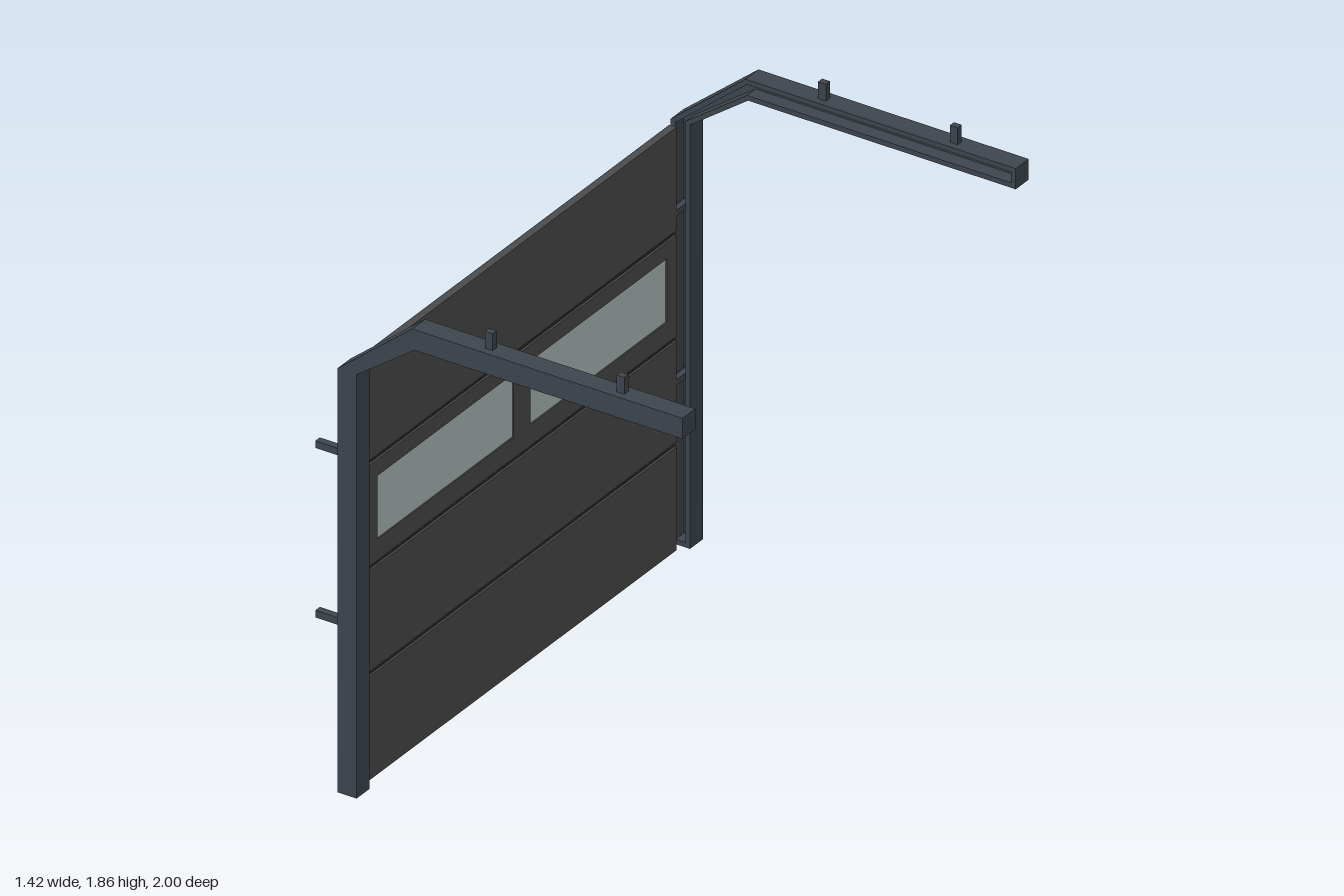
import * as THREE from 'three';

const steel = new THREE.MeshStandardMaterial({ color: 0x3d454d });
const slab = new THREE.MeshStandardMaterial({ color: 0x4a4a4a });
const seam = new THREE.MeshStandardMaterial({ color: 0x2a2a2a });
const glass = new THREE.MeshStandardMaterial({ color: 0xb0bcbc });

function add(parent, name, geometry, material, x = 0, y = 0, z = 0) {
  const mesh = new THREE.Mesh(geometry, material);
  mesh.name = name;
  mesh.position.set(x, y, z);
  parent.add(mesh);
  return mesh;
}

const box = (parent, name, material, size, pos) =>
  add(parent, name, new THREE.BoxGeometry(...size), material, ...pos);

const points = (list) => list.map(([x, y]) => new THREE.Vector2(x, y));
const rectangle = (x0, x1, y0, y1) => points([[x0, y0], [x1, y0], [x1, y1], [x0, y1]]);
const extrude = (shape, depth) => new THREE.ExtrudeGeometry(shape, { depth, bevelEnabled: false });

// Side outline of the bent track and of the groove on its inner face
const trackOutline = points([
  [-0.615, 0], [-0.541, 0], [-0.541, 1.563], [-0.318, 1.724],
  [0.71, 1.724], [0.71, 1.8], [-0.328, 1.8], [-0.615, 1.563],
]);
const grooveOutline = points([
  [-0.597, 0.018], [-0.559, 0.018], [-0.559, 1.571], [-0.322, 1.742],
  [0.692, 1.742], [0.692, 1.782], [-0.322, 1.782], [-0.597, 1.555],
]);

// One track: solid outer web, grooved inner part, wall brackets and ceiling hangers
function createTrack(side) {
  const track = new THREE.Group();
  track.name = side > 0 ? 'leftTrack' : 'rightTrack';
  const grooved = new THREE.Shape(trackOutline);
  grooved.holes.push(new THREE.Path(grooveOutline));
  add(track, 'trackWeb', extrude(new THREE.Shape(trackOutline), 0.025), steel, 0, 0, side > 0 ? 0.975 : -1);
  add(track, 'trackChannel', extrude(grooved, 0.05), steel, 0, 0, side > 0 ? 0.925 : -0.975);

  for (const y of [0.615, 1.24]) {
    box(track, 'wallBracket', steel, [0.1, 0.026, 0.026], [-0.665, y, side * 0.964]);
    box(track, 'rollerShaft', steel, [0.022, 0.022, 0.09], [-0.58, y + 0.006, side * 0.93]);
  }
  for (const x of [-0.051, 0.455]) {
    box(track, 'ceilingHanger', steel, [0.03, 0.062, 0.024], [x, 1.831, side * 0.962]);
  }
  return track;
}

// Sectional door: four slabs on a backing sheet, the third with two windows
function createDoor() {
  const door = new THREE.Group();
  door.name = 'door';
  const zMin = -0.887, zMax = 0.897, zMid = 0.005, front = -0.567;
  const pitch = 0.39, gap = 0.018, bottom = 0.005;
  const windows = [[0.054, 0.841], [-0.831, -0.043]];

  box(door, 'backingSheet', steel, [0.006, 1.559, zMax - zMin], [-0.593, 0.7845, zMid]);

  for (let i = 0; i < 4; i++) {
    const y0 = bottom + i * pitch + (i > 0 ? gap / 2 : 0);
    const y1 = bottom + (i + 1) * pitch - (i < 3 ? gap / 2 : 0);
    const shape = new THREE.Shape(rectangle(zMin, zMax, y0, y1));
    if (i === 2) {
      for (const [a, b] of windows) shape.holes.push(new THREE.Path(rectangle(a, b, 0.872, 1.106)));
    }
    const section = add(door, 'doorSection', extrude(shape, 0.023), slab, front);
    section.rotation.y = -Math.PI / 2;
    if (i > 0) {
      box(door, 'sectionSeam', seam, [0.015, gap, zMax - zMin], [-0.5825, bottom + i * pitch, zMid]);
    }
  }
  for (const [a, b] of windows) {
    box(door, 'windowPane', glass, [0.018, 0.234, b - a], [-0.581, 0.989, (a + b) / 2]);
  }
  return door;
}

export function createModel() {
  const model = new THREE.Group();
  model.name = 'overheadDoor';
  model.add(createDoor(), createTrack(1), createTrack(-1));
  return model;
}
